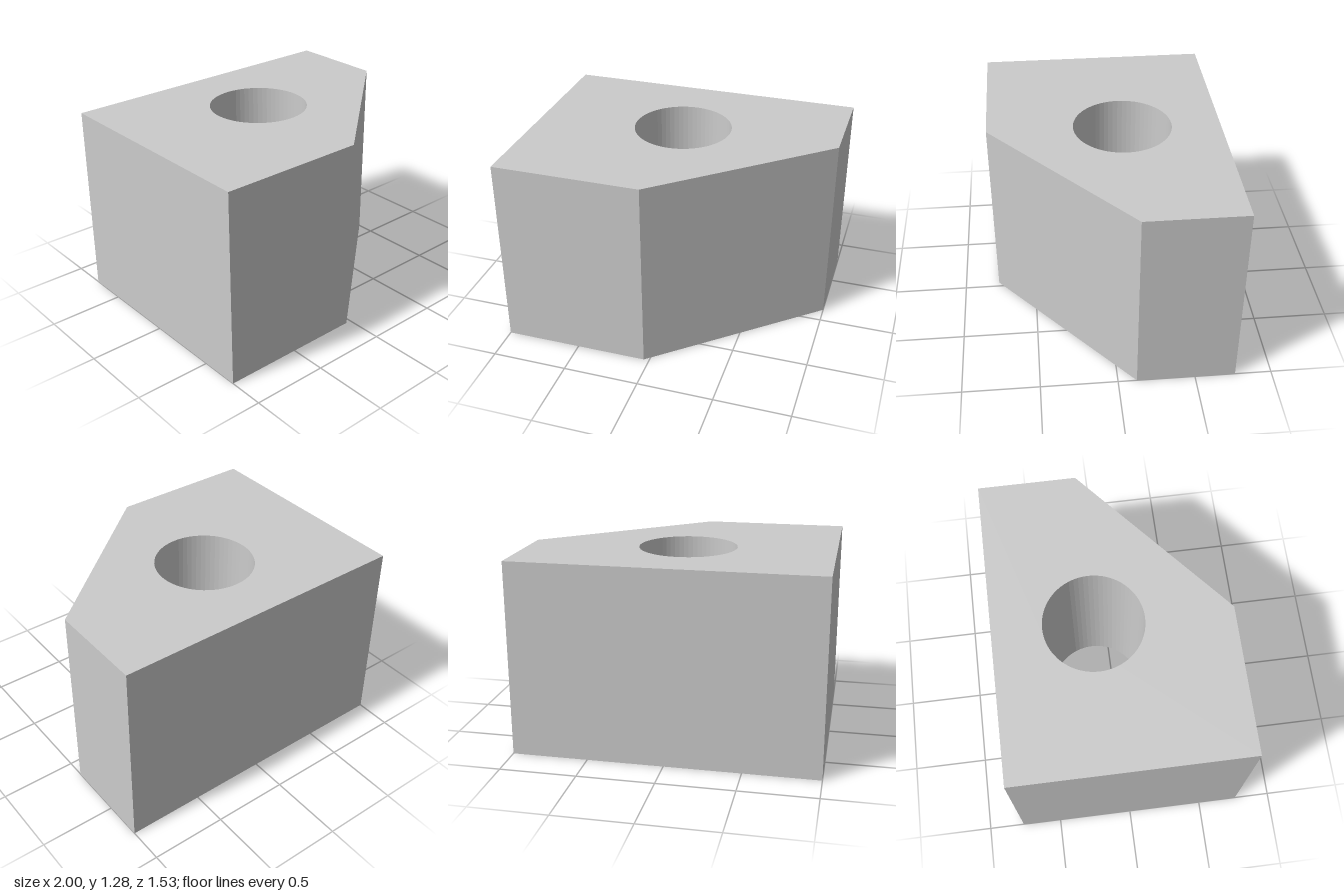
import * as THREE from 'three';

const HEIGHT = 1.285;

export function createModel() {
  const group = new THREE.Group();
  group.name = 'chamferedBlock';

  // Plan outline, drawn with shape y = -z
  const outline = new THREE.Shape([
    [-1, -0.763], [-0.037, -0.763], [1, 0.122], [1, 0.763], [-1, 0.763],
  ].map(([x, y]) => new THREE.Vector2(x, y)));

  // Round hole through the full height
  const bore = new THREE.Path();
  bore.absarc(-0.037, 0.122, 0.322, 0, Math.PI * 2, true);
  outline.holes.push(bore);

  // Extrude, then stand the block upright on the ground
  const geometry = new THREE.ExtrudeGeometry(outline, {
    depth: HEIGHT, bevelEnabled: false, curveSegments: 32,
  });
  geometry.rotateX(-Math.PI / 2);

  const block = new THREE.Mesh(geometry, new THREE.MeshStandardMaterial({ color: 0xcccccc }));
  block.name = 'blockWithBore';
  group.add(block);
  return group;
}
